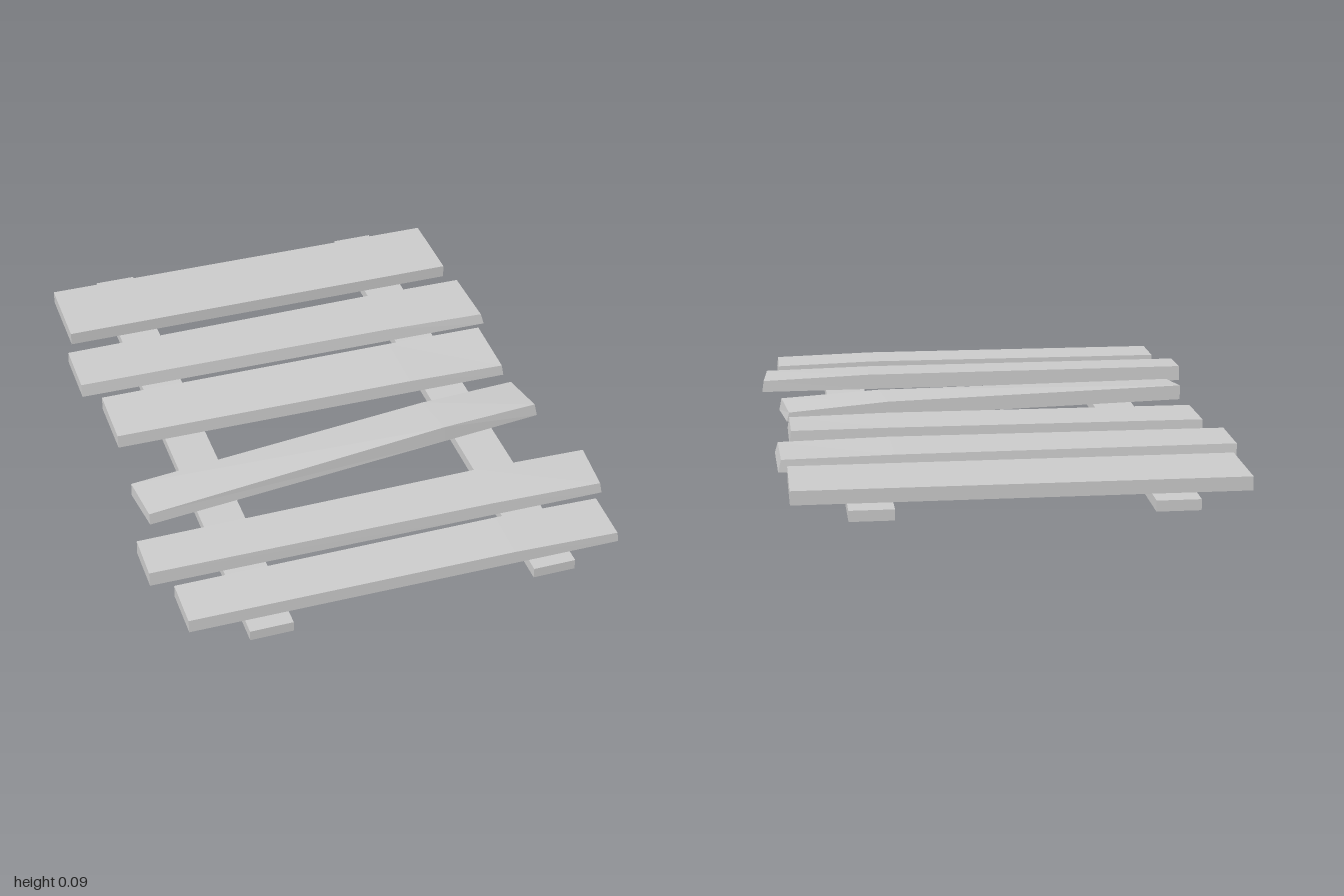
import * as THREE from 'three';

const material = new THREE.MeshStandardMaterial({ color: 0xcccccc, flatShading: true });
const BASE = 0.035; // top of the rails, underside of the planks

// Plan corners [x, z] of each plank: back -x, back +x, front +x, front -x.
// Top heights [back, front] at the -x end, at the bend and at the +x end.
const PLANKS = [
  { plan: [[-0.715, -0.925], [0.71, -0.925], [0.71, -0.645], [-0.715, -0.645]],
    tops: [[0.08, 0.08], [0.08, 0.08], [0.08, 0.08]], inset: 0 },
  { plan: [[-0.75, -0.54], [0.737, -0.555], [0.742, -0.31], [-0.75, -0.325]],
    tops: [[0.08, 0.08], [0.08, 0.08], [0.075, 0.072]], inset: 0.01 },
  { plan: [[-0.70, -0.237], [0.692, -0.23], [0.692, 0.006], [-0.70, -0.008]],
    tops: [[0.085, 0.08], [0.086, 0.08], [0.084, 0.073]], inset: 0.006 },
  { plan: [[-0.72, 0.25], [0.692, 0.088], [0.714, 0.26], [-0.70, 0.415]],
    tops: [[0.085, 0.073], [0.085, 0.09], [0.066, 0.078]], inset: 0.008 },
  { plan: [[-0.775, 0.54], [0.77, 0.53], [0.755, 0.715], [-0.775, 0.702]],
    tops: [[0.088, 0.082], [0.088, 0.08], [0.075, 0.072]], inset: 0.006 },
  { plan: [[-0.715, 0.773], [0.708, 0.776], [0.706, 0.957], [-0.715, 0.945]],
    tops: [[0.08, 0.078], [0.082, 0.078], [0.072, 0.068]], inset: 0.004 },
];

// A slightly warped board, skinned over three cross-sections
function plankGeometry({ plan, tops, inset }) {
  const [bl, br, fr, fl] = plan.map(([x, z]) => new THREE.Vector3(x, BASE, z));
  const sections = [0, 0.75, 1].map((t, i) => {
    const back = bl.clone().lerp(br, t);
    const front = fl.clone().lerp(fr, t);
    const endShift = i === 2 ? -inset : 0;
    const topBack = back.clone().add(new THREE.Vector3(endShift, 0, inset * 0.5)).setY(tops[i][0]);
    const topFront = front.clone().add(new THREE.Vector3(endShift, 0, -inset * 0.8)).setY(tops[i][1]);
    return [front, back, topBack, topFront];
  });
  const points = [];
  const quad = (a, b, c, d) => points.push(a, b, c, a, c, d);
  for (let s = 0; s < 2; s++) {
    const a = sections[s], b = sections[s + 1];
    for (let j = 0; j < 4; j++) {
      const k = (j + 1) % 4;
      quad(a[j], a[k], b[k], b[j]);
    }
  }
  quad(...sections[2]);
  quad(...[...sections[0]].reverse());
  const geometry = new THREE.BufferGeometry().setFromPoints(points);
  geometry.computeVertexNormals();
  return geometry;
}

export function createModel() {
  const model = new THREE.Group();
  model.name = 'plankWalkway';

  // Two long rails lying on the ground
  for (const side of [-1, 1]) {
    const rail = new THREE.Mesh(new THREE.BoxGeometry(0.14, BASE, 2), material);
    rail.name = side > 0 ? 'leftRail' : 'rightRail';
    rail.position.set(side * 0.468, BASE / 2, 0);
    model.add(rail);
  }

  // Uneven planks across the rails, back to front
  PLANKS.forEach((spec, i) => {
    const plank = new THREE.Mesh(plankGeometry(spec), material);
    plank.name = `plank${i + 1}`;
    model.add(plank);
  });
  return model;
}
